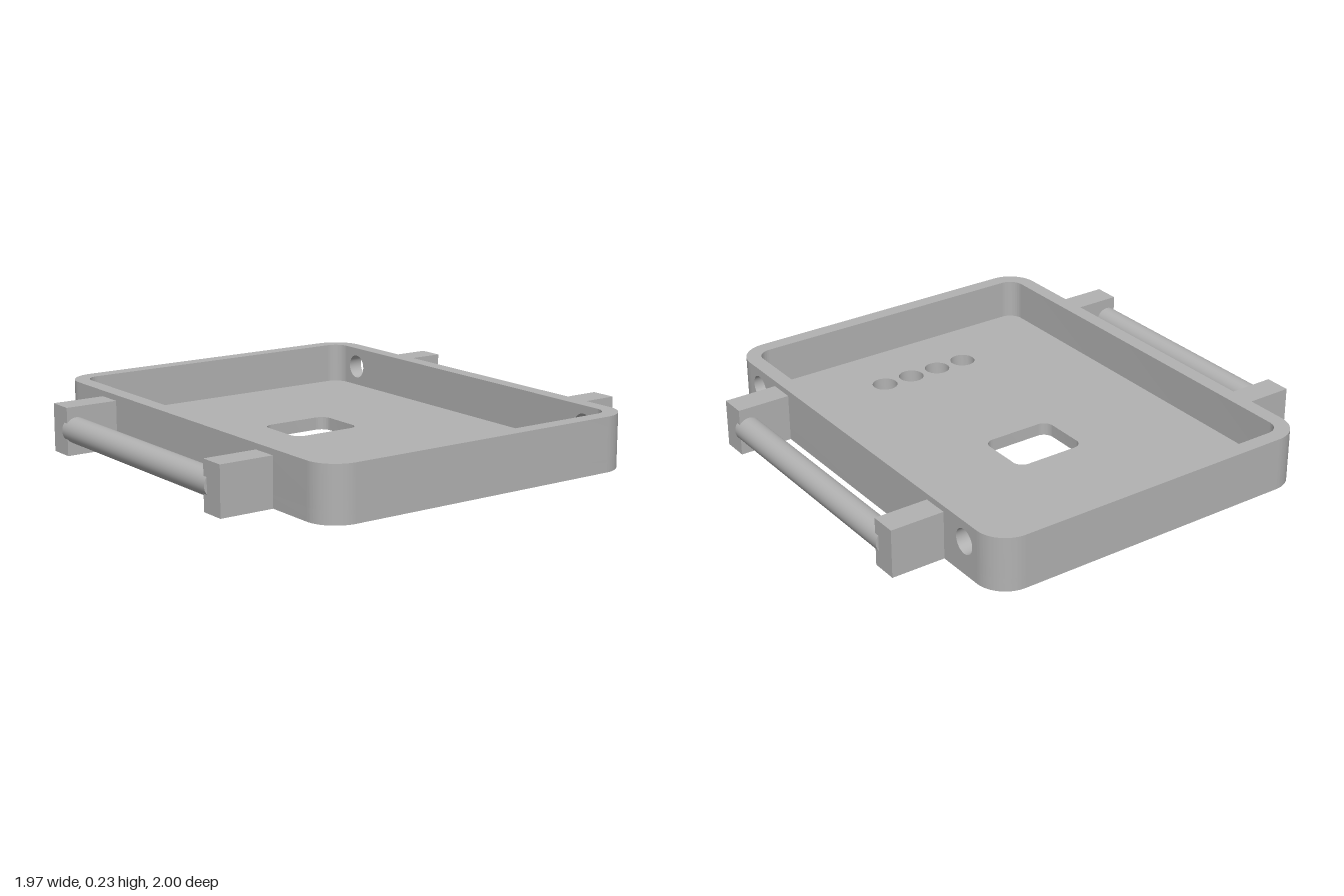
import * as THREE from 'three';
import { toCreasedNormals } from 'three/addons/utils/BufferGeometryUtils.js';

const W = 0.985, D = 0.755, H = 0.23;      // tray half width, half depth, height
const R = 0.13, T = 0.065, FLOOR = 0.055;  // corner radius, wall and floor thickness
const PI = Math.PI;

function roundedRect(path, cx, cy, hw, hh, r) {
  path.absarc(cx + hw - r, cy + hh - r, r, 0, PI / 2);
  path.absarc(cx - hw + r, cy + hh - r, r, PI / 2, PI);
  path.absarc(cx - hw + r, cy - hh + r, r, PI, 1.5 * PI);
  path.absarc(cx + hw - r, cy - hh + r, r, 1.5 * PI, 2 * PI);
  path.closePath();
  return path;
}

function circle(x, y, r) {
  return new THREE.Path().absarc(x, y, r, 0, 2 * PI);
}

function extrude(shape, depth) {
  const g = new THREE.ExtrudeGeometry(shape, { depth, bevelEnabled: false, curveSegments: 16 });
  return toCreasedNormals(g, 0.6);
}

export function createModel() {
  const group = new THREE.Group();
  const grey = new THREE.MeshStandardMaterial({ color: 0xb2b2b2 });
  grey.name = 'grey';
  const add = (name, geometry, x = 0, y = 0, z = 0) => {
    const mesh = new THREE.Mesh(geometry, grey);
    mesh.name = name;
    mesh.position.set(x, y, z);
    group.add(mesh);
    return mesh;
  };

  // Floor with a rounded window and a row of four round holes
  const floor = roundedRect(new THREE.Shape(), 0, 0, W, D, R);
  floor.holes.push(roundedRect(new THREE.Path(), -0.185, 0.003, 0.127, 0.162, 0.045));
  for (let i = 0; i < 4; i++) floor.holes.push(circle(0.64, 0.003 + (i - 1.5) * 0.138, 0.055));
  add('floor', extrude(floor, FLOOR).rotateX(-PI / 2));

  // Side and front walls with all four rounded corners, open along the back
  const cx = W - R, cy = D - R, r = R - T;
  const rim = new THREE.Shape();
  rim.absarc(cx, cy, R, PI / 2, 0, true);
  rim.absarc(cx, -cy, R, 0, -PI / 2, true);
  rim.absarc(-cx, -cy, R, -PI / 2, -PI, true);
  rim.absarc(-cx, cy, R, PI, PI / 2, true);
  rim.absarc(-cx, cy, r, PI / 2, PI);
  rim.absarc(-cx, -cy, r, PI, 1.5 * PI);
  rim.absarc(cx, -cy, r, 1.5 * PI, 2 * PI);
  rim.absarc(cx, cy, r, 0, PI / 2);
  rim.closePath();
  add('wall', extrude(rim, H - FLOOR).rotateX(-PI / 2), 0, FLOOR, 0);

  // Straight back wall, pierced near both ends
  const back = new THREE.Shape();
  back.moveTo(-cx, FLOOR).lineTo(cx, FLOOR).lineTo(cx, H).lineTo(-cx, H).closePath();
  for (const s of [-1, 1]) back.holes.push(circle(s * 0.775, 0.142, 0.053));
  add('backWall', extrude(back, T), 0, 0, -D);

  // Strap lugs and the bars held between them, front and back
  const lug = new THREE.BoxGeometry(0.113, 0.205, 0.233);
  const bar = new THREE.CylinderGeometry(0.055, 0.055, 1.1, 40).rotateZ(PI / 2);
  for (const [end, s] of [['front', 1], ['back', -1]]) {
    add(end + 'LeftLug', lug, 0.584, 0.1025, s * (D + 0.1165));
    add(end + 'RightLug', lug, -0.584, 0.1025, s * (D + 0.1165));
    add(end + 'Bar', bar, 0, 0.105, s * 0.945);
  }
  return group;
}
